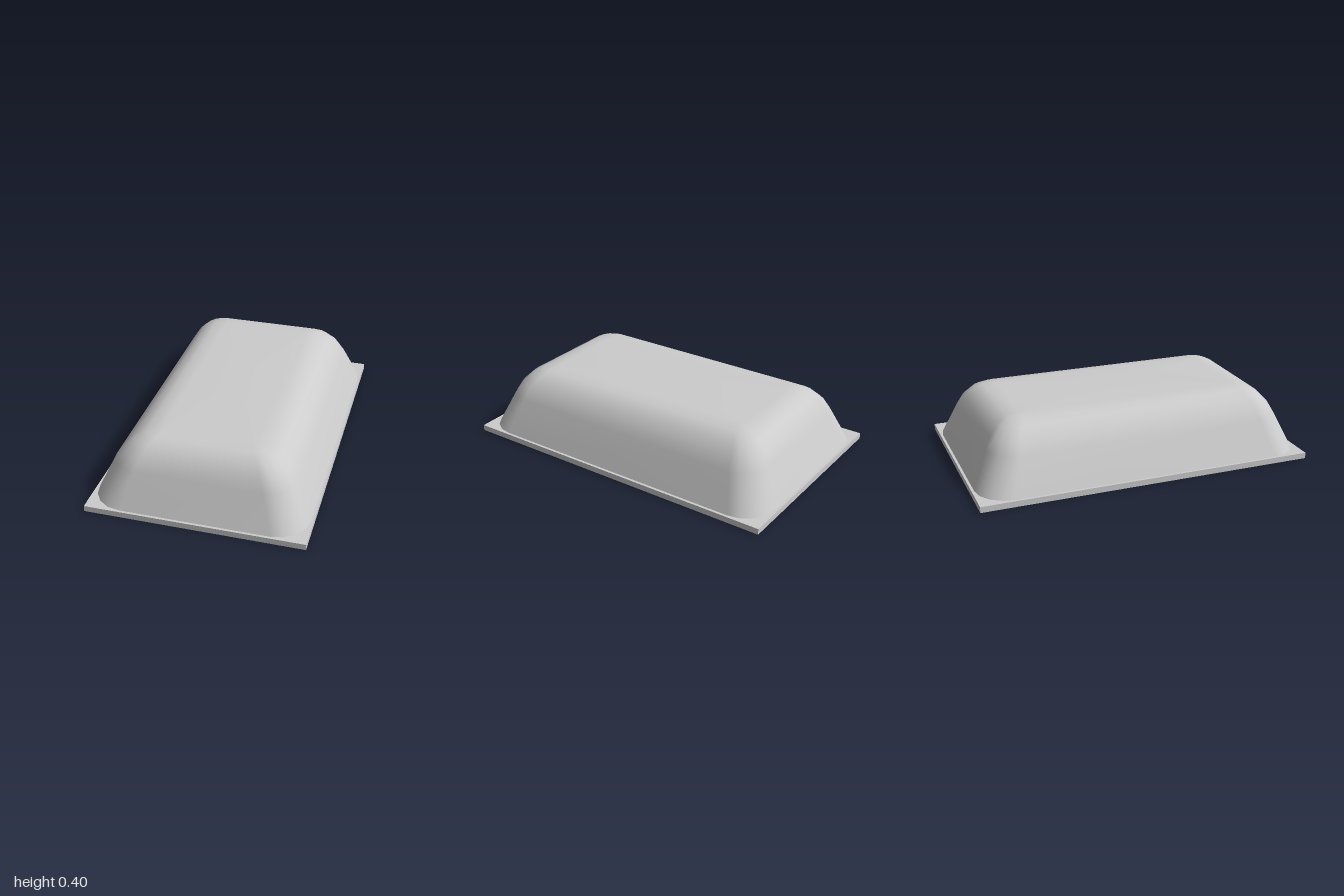
import * as THREE from 'three';

// Dome cross-sections from bottom to top: [height, half width, half length, corner radius]
const RINGS = [
  [0.035, 0.615, 0.985, 0.185],
  [0.24, 0.52, 0.895, 0.155],
  [0.31, 0.475, 0.86, 0.135],
  [0.365, 0.418, 0.808, 0.11],
  [0.395, 0.353, 0.75, 0.078],
  [0.403, 0.272, 0.667, 0.015],
];
const CORNER_STEPS = 4;

// Smooth loft through rounded rectangles, closed with a flat top
function domeGeometry() {
  const positions = [];
  const index = [];
  const count = 4 * (CORNER_STEPS + 1);
  for (const [y, hx, hz, r] of RINGS) {
    for (let c = 0; c < 4; c++) {
      const sx = c === 0 || c === 3 ? 1 : -1;
      const sz = c < 2 ? 1 : -1;
      for (let s = 0; s <= CORNER_STEPS; s++) {
        const a = (c + s / CORNER_STEPS) * Math.PI / 2;
        positions.push(sx * (hx - r) + r * Math.cos(a), y, sz * (hz - r) + r * Math.sin(a));
      }
    }
  }
  for (let k = 0; k < RINGS.length - 1; k++) {
    for (let i = 0; i < count; i++) {
      const a = k * count + i;
      const b = k * count + (i + 1) % count;
      index.push(a, a + count, b, b, a + count, b + count);
    }
  }
  // Top cap fans out from a centre point
  const last = (RINGS.length - 1) * count;
  const centre = positions.length / 3;
  positions.push(0, 0.403, 0);
  for (let i = 0; i < count; i++) index.push(centre, last + (i + 1) % count, last + i);

  const geometry = new THREE.BufferGeometry();
  geometry.setAttribute('position', new THREE.Float32BufferAttribute(positions, 3));
  geometry.setIndex(index);
  geometry.computeVertexNormals();
  return geometry;
}

export function createModel() {
  const model = new THREE.Group();
  model.name = 'domedPanel';
  const grey = new THREE.MeshStandardMaterial({ color: 0xcccccc });
  grey.name = 'light grey';

  // Flat rectangular base
  const plate = new THREE.Mesh(new THREE.BoxGeometry(1.262, 0.035, 2), grey);
  plate.name = 'basePlate';
  plate.position.y = 0.0175;

  // Rounded cover standing on the base
  const dome = new THREE.Mesh(domeGeometry(), grey);
  dome.name = 'dome';

  model.add(plate, dome);
  return model;
}
